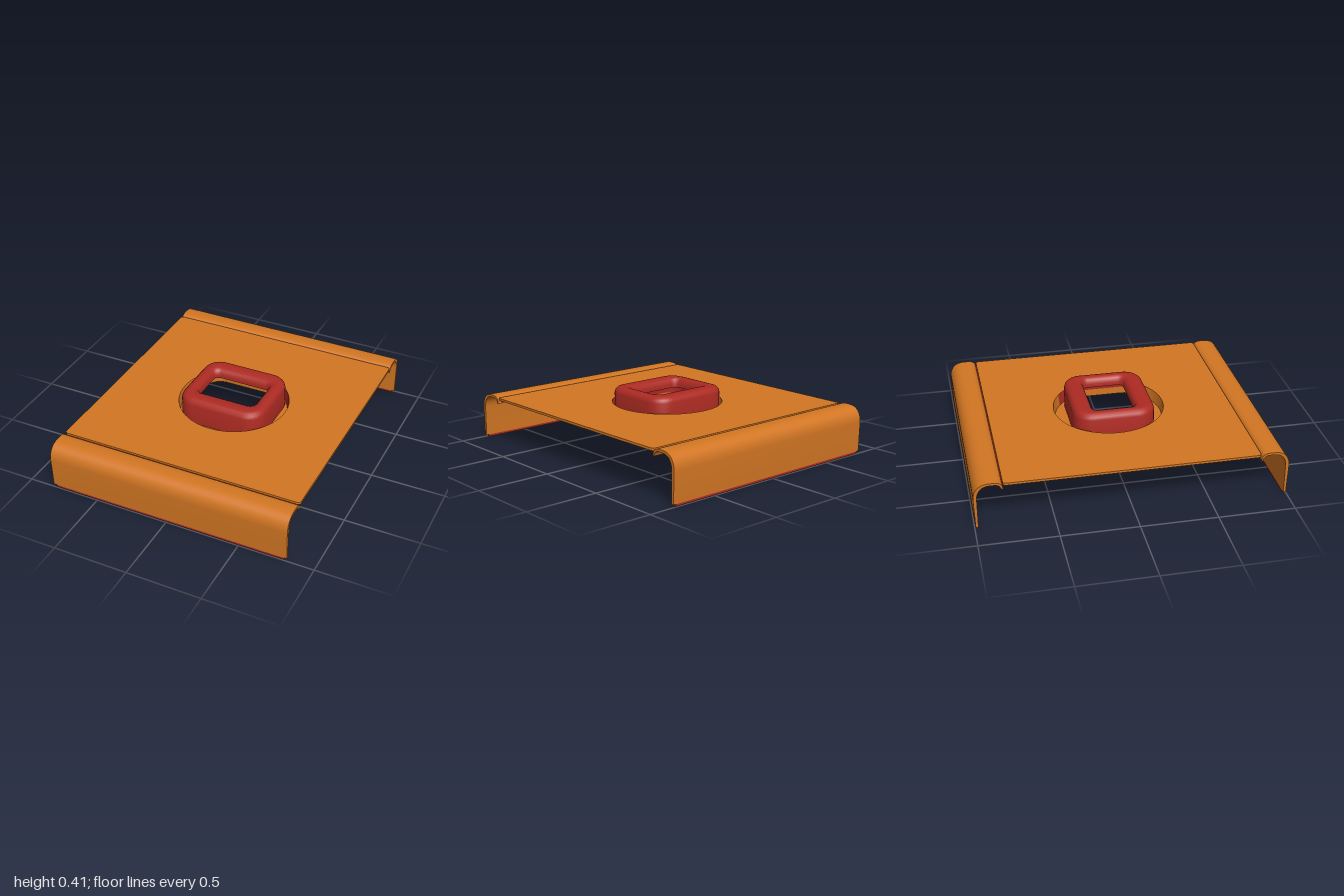
import * as THREE from 'three';
import { toCreasedNormals } from 'three/addons/utils/BufferGeometryUtils.js';

const orange = new THREE.MeshStandardMaterial({ color: 0xd27623, side: THREE.DoubleSide });
orange.name = 'orange';
const red = new THREE.MeshStandardMaterial({ color: 0xae2b23, side: THREE.DoubleSide });
red.name = 'red';

const CX = -0.005; // centre of the tray across x
const WIDTH = 1.65;

function roundedRect(path, w, d, r) {
  const x = w / 2, y = d / 2;
  path.absarc(x - r, -y + r, r, -Math.PI / 2, 0);
  path.absarc(x - r, y - r, r, 0, Math.PI / 2);
  path.absarc(-x + r, y - r, r, Math.PI / 2, Math.PI);
  path.absarc(-x + r, -y + r, r, Math.PI, Math.PI * 1.5);
  path.closePath();
  return path;
}

function addMesh(parent, name, geometry, material) {
  const mesh = new THREE.Mesh(geometry, material);
  mesh.name = name;
  parent.add(mesh);
  return mesh;
}

// Flat sheet with a round opening
function sheetGeometry() {
  const shape = roundedRect(new THREE.Shape(), WIDTH, 1.63, 0.02);
  shape.holes.push(new THREE.Path().absarc(0, 0, 0.372, 0, Math.PI * 2, true));
  const geo = new THREE.ExtrudeGeometry(shape, { depth: 0.016, bevelEnabled: false, curveSegments: 32 });
  geo.rotateX(-Math.PI / 2).translate(0, 0.312, 0);
  return toCreasedNormals(geo, 0.6);
}

// Rolled lip: bent strip profile (z, y) swept across x
function lipGeometry() {
  const s = new THREE.Shape();
  s.moveTo(0.815, 0.285);
  s.quadraticCurveTo(0.815, 0.336, 0.87, 0.336);
  s.lineTo(0.9, 0.336);
  s.bezierCurveTo(0.96, 0.336, 1.0, 0.30, 1.0, 0.23);
  s.lineTo(0.994, 0.03);
  s.lineTo(0.978, 0.03);
  s.lineTo(0.978, 0.23);
  s.bezierCurveTo(0.978, 0.285, 0.95, 0.318, 0.9, 0.32);
  s.lineTo(0.87, 0.32);
  s.quadraticCurveTo(0.83, 0.32, 0.825, 0.285);
  const geo = new THREE.ExtrudeGeometry(s, { depth: WIDTH, bevelEnabled: false, curveSegments: 10 });
  geo.rotateY(-Math.PI / 2).translate(WIDTH / 2, 0, 0);
  return toCreasedNormals(geo, 0.6);
}

// Open shell through rounded rectangles, each [width, depth, corner radius, y]
function shellGeometry(sections) {
  const pos = [], index = [], corner = 8, n = corner * 4;
  for (const [w, d, r, y] of sections) {
    for (let i = 0; i < n; i++) {
      const q = Math.floor(i / corner);
      const a = (q + (i % corner) / (corner - 1)) * Math.PI / 2;
      const sx = q === 0 || q === 3 ? 1 : -1, sz = q < 2 ? 1 : -1;
      pos.push(sx * (w / 2 - r) + r * Math.cos(a), y, sz * (d / 2 - r) + r * Math.sin(a));
    }
  }
  for (let k = 0; k < sections.length - 1; k++) {
    for (let i = 0; i < n; i++) {
      const a = k * n + i, b = k * n + (i + 1) % n;
      index.push(a, a + n, b, b, a + n, b + n);
    }
  }
  const geo = new THREE.BufferGeometry();
  geo.setAttribute('position', new THREE.Float32BufferAttribute(pos, 3));
  geo.setIndex(index);
  return toCreasedNormals(geo, 0.9);
}

export function createModel() {
  const model = new THREE.Group();
  model.name = 'tray';
  const body = new THREE.Group();
  body.name = 'trayBody';
  body.position.x = CX;
  model.add(body);

  addMesh(body, 'sheet', sheetGeometry(), orange);

  // Matching lips at front and back, each with a lower trim and a seam strip
  const lipGeo = lipGeometry();
  for (const [side, turn] of [['front', 0], ['back', Math.PI]]) {
    const lip = new THREE.Group();
    lip.name = side + 'Lip';
    lip.rotation.y = turn;
    body.add(lip);
    addMesh(lip, side + 'LipStrip', lipGeo, orange);
    const trim = addMesh(lip, side + 'LipTrim', new THREE.BoxGeometry(WIDTH - 0.04, 0.014, 0.014), red);
    trim.position.set(0, 0.023, 0.986);
    const seam = addMesh(lip, side + 'Seam', new THREE.BoxGeometry(WIDTH - 0.06, 0.022, 0.008), red);
    seam.position.set(0, 0.303, 0.816);
  }

  // Round recess wall in arcs (start and end in degrees from the front)
  const profile = [new THREE.Vector2(0.372, 0.328), new THREE.Vector2(0.362, 0.25)];
  const arcs = [[-214, 34, orange], [34, 62, red], [62, 106, orange], [106, 146, red]];
  for (const [from, to, material] of arcs) {
    const start = THREE.MathUtils.degToRad(from), sweep = THREE.MathUtils.degToRad(to - from);
    addMesh(body, 'recessWall', new THREE.LatheGeometry(profile, Math.ceil((to - from) / 6), start, sweep), material);
  }

  // Recess floor around the collar
  const floor = new THREE.Shape().absarc(0, 0, 0.362, 0, Math.PI * 2);
  floor.holes.push(roundedRect(new THREE.Path(), 0.59, 0.53, 0.12));
  addMesh(body, 'recessFloor', new THREE.ShapeGeometry(floor, 32).rotateX(-Math.PI / 2).translate(0, 0.25, 0), orange);

  // Hollow square collar, turned in over the top to a rectangular opening
  addMesh(body, 'collar', shellGeometry([
    [0.6, 0.54, 0.12, 0.25], [0.6, 0.54, 0.12, 0.39], [0.588, 0.528, 0.114, 0.41],
    [0.56, 0.5, 0.1, 0.424], [0.52, 0.46, 0.08, 0.43], [0.47, 0.34, 0.06, 0.43],
    [0.43, 0.3, 0.05, 0.418], [0.41, 0.28, 0.04, 0.39], [0.41, 0.28, 0.04, 0.365],
  ]), red);

  // Lining inside the foot of the collar
  addMesh(body, 'collarLining', shellGeometry([[0.588, 0.528, 0.114, 0.25], [0.588, 0.528, 0.114, 0.3]]), orange);
  return model;
}
